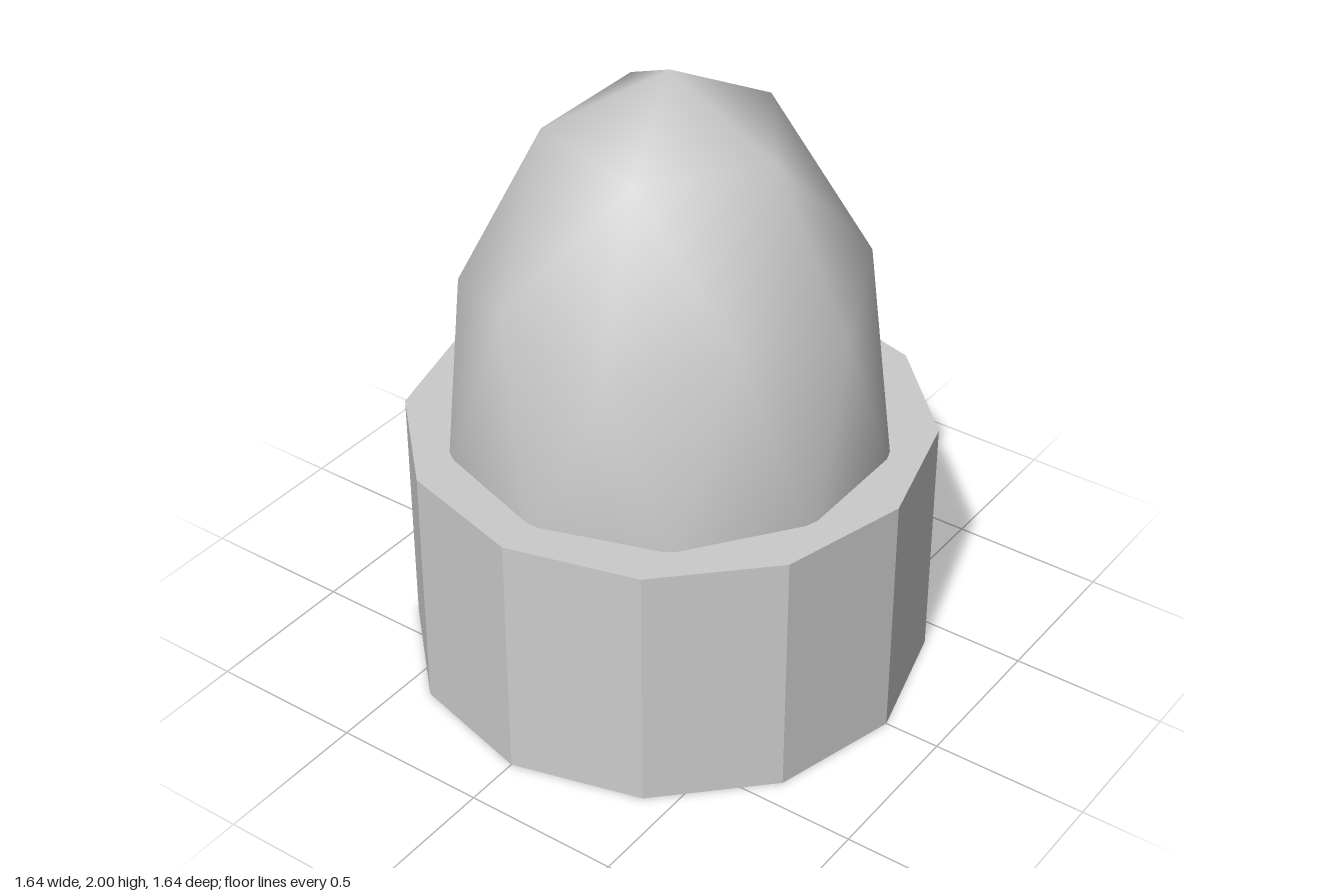
import * as THREE from 'three';

const BASE_RADIUS = 0.82, BASE_HEIGHT = 0.82;
const DOME_RADIUS = 0.7, DOME_CENTRE = 0.755, DOME_HEIGHT = 1.245;

// Upper half of a once-subdivided icosahedron, stretched upwards
function domeGeometry() {
  const positions = [], normals = [], index = [];
  const addVertex = (degrees, r, h) => {
    const a = THREE.MathUtils.degToRad(degrees);
    const x = r * Math.cos(a), z = -r * Math.sin(a);
    positions.push(x * DOME_RADIUS, DOME_CENTRE + h * DOME_HEIGHT, z * DOME_RADIUS);
    const n = new THREE.Vector3(x / DOME_RADIUS, h / DOME_HEIGHT, z / DOME_RADIUS).normalize();
    normals.push(n.x, n.y, n.z);
  };

  // Apex, ring of 5, alternating ring of 10, equator of 10
  addVertex(0, 0, 1);
  for (let k = 0; k < 5; k++) addVertex(72 * k, 0.5257, 0.8507);
  for (let j = 0; j < 10; j++) {
    if (j % 2) addVertex(36 * j, 0.8507, 0.5257);
    else addVertex(36 * j, 0.8944, 0.4472);
  }
  for (let j = 0; j < 10; j++) addVertex(36 * j + 18, 1, 0);

  const inner = k => 1 + (k % 5);
  const middle = j => 6 + (j % 10);
  const equator = j => 16 + ((j + 10) % 10);

  for (let k = 0; k < 5; k++) {
    const a = inner(k), b = inner(k + 1), m = middle(2 * k + 1);
    index.push(0, a, b);
    index.push(a, middle(2 * k), m);
    index.push(a, m, b);
    index.push(b, m, middle(2 * k + 2));
  }
  for (let j = 0; j < 10; j++) {
    index.push(middle(j), equator(j), middle(j + 1));
    index.push(equator(j - 1), equator(j), middle(j));
  }

  const geometry = new THREE.BufferGeometry();
  geometry.setAttribute('position', new THREE.Float32BufferAttribute(positions, 3));
  geometry.setAttribute('normal', new THREE.Float32BufferAttribute(normals, 3));
  geometry.setIndex(index);
  return geometry;
}

export function createModel() {
  const group = new THREE.Group();

  // Twelve-sided base
  const base = new THREE.Mesh(
    new THREE.CylinderGeometry(BASE_RADIUS, BASE_RADIUS, BASE_HEIGHT, 12),
    new THREE.MeshStandardMaterial({ color: 0xcccccc, flatShading: true })
  );
  base.name = 'base';
  base.position.y = BASE_HEIGHT / 2;
  group.add(base);

  // Smooth dome, its rim sunk into the base
  const dome = new THREE.Mesh(domeGeometry(), new THREE.MeshStandardMaterial({ color: 0xcccccc }));
  dome.name = 'dome';
  group.add(dome);

  return group;
}
